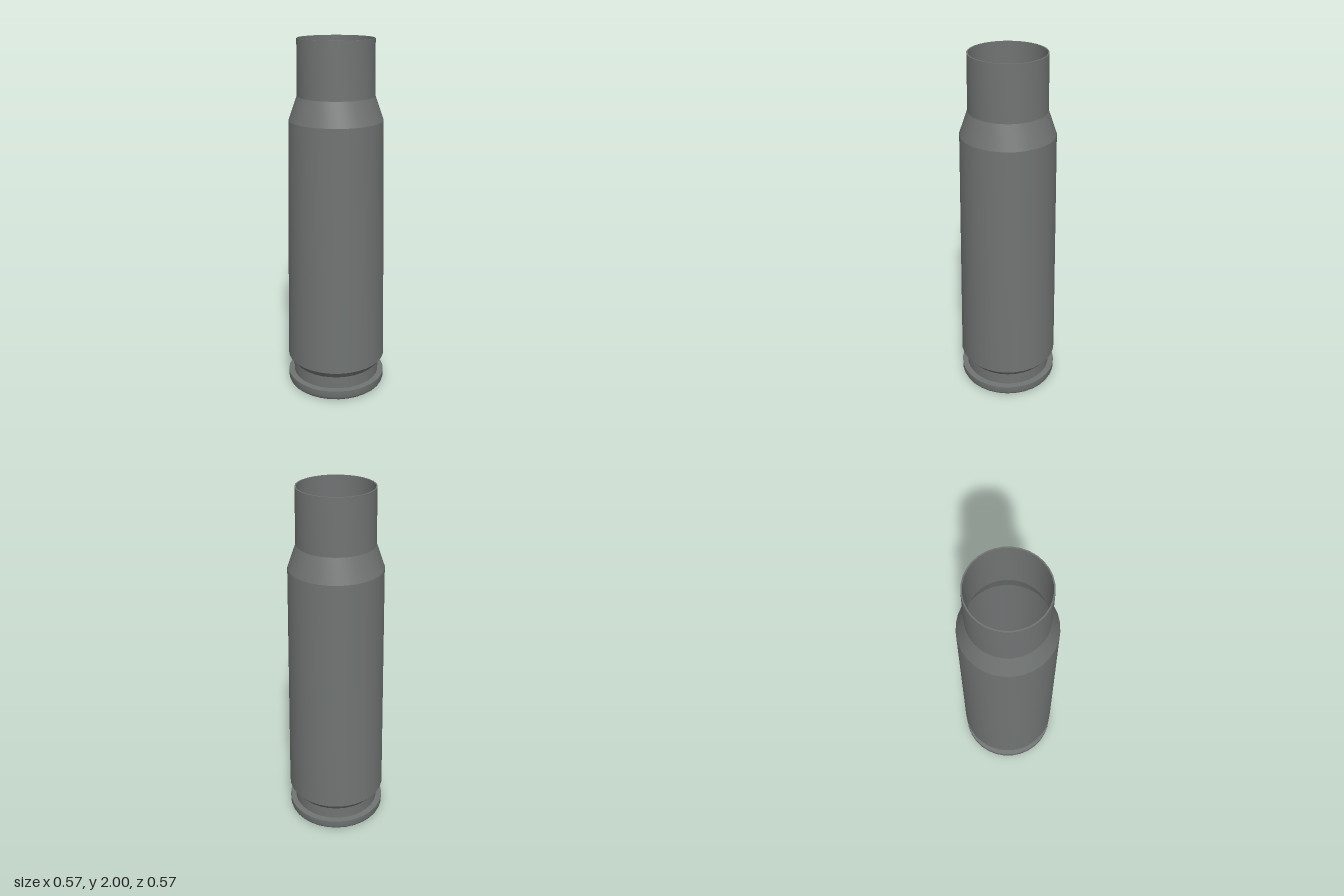
import * as THREE from 'three';
import { toCreasedNormals } from 'three/addons/utils/BufferGeometryUtils.js';

const SEGMENTS = 32;

// Turned part: profile of [radius, height] pairs, running from the base outwards and up
function turned(name, profile, material, crease) {
  const points = profile.map(([r, y]) => new THREE.Vector2(r, y));
  const geometry = toCreasedNormals(new THREE.LatheGeometry(points, SEGMENTS), crease);
  const mesh = new THREE.Mesh(geometry, material);
  mesh.name = name;
  return mesh;
}

export function createModel() {
  const steel = new THREE.MeshStandardMaterial({ color: 0x6f7372 });
  steel.name = 'grey steel';
  const copper = new THREE.MeshStandardMaterial({ color: 0xa86f55 });
  copper.name = 'copper';

  const group = new THREE.Group();
  group.name = 'emptyCase';

  // Base rim with the round pocket and a rounded lower edge
  group.add(turned('rim', [
    [0.137, 0.03], [0.137, 0], [0.258, 0], [0.269, 0.003], [0.278, 0.011],
    [0.283, 0.024], [0.283, 0.062], [0.25, 0.064],
  ], steel, 0.6));

  // Groove, tapered body, shoulder and neck, then back down the hollow inside
  group.add(turned('caseBody', [
    [0.25, 0.064], [0.25, 0.135], [0.283, 0.177], [0.257, 1.57], [0.211, 1.7], [0.207, 2],
    [0.2, 2], [0.2, 1.69], [0.238, 1.56], [0.25, 0.25], [0, 0.25],
  ], steel, 0.25));

  // Slightly domed disc set into the base pocket
  group.add(turned('baseDisc', [
    [0, 0.008], [0.07, 0.01], [0.115, 0.014], [0.13, 0.02], [0.137, 0.03],
  ], copper, 0.8));

  return group;
}
